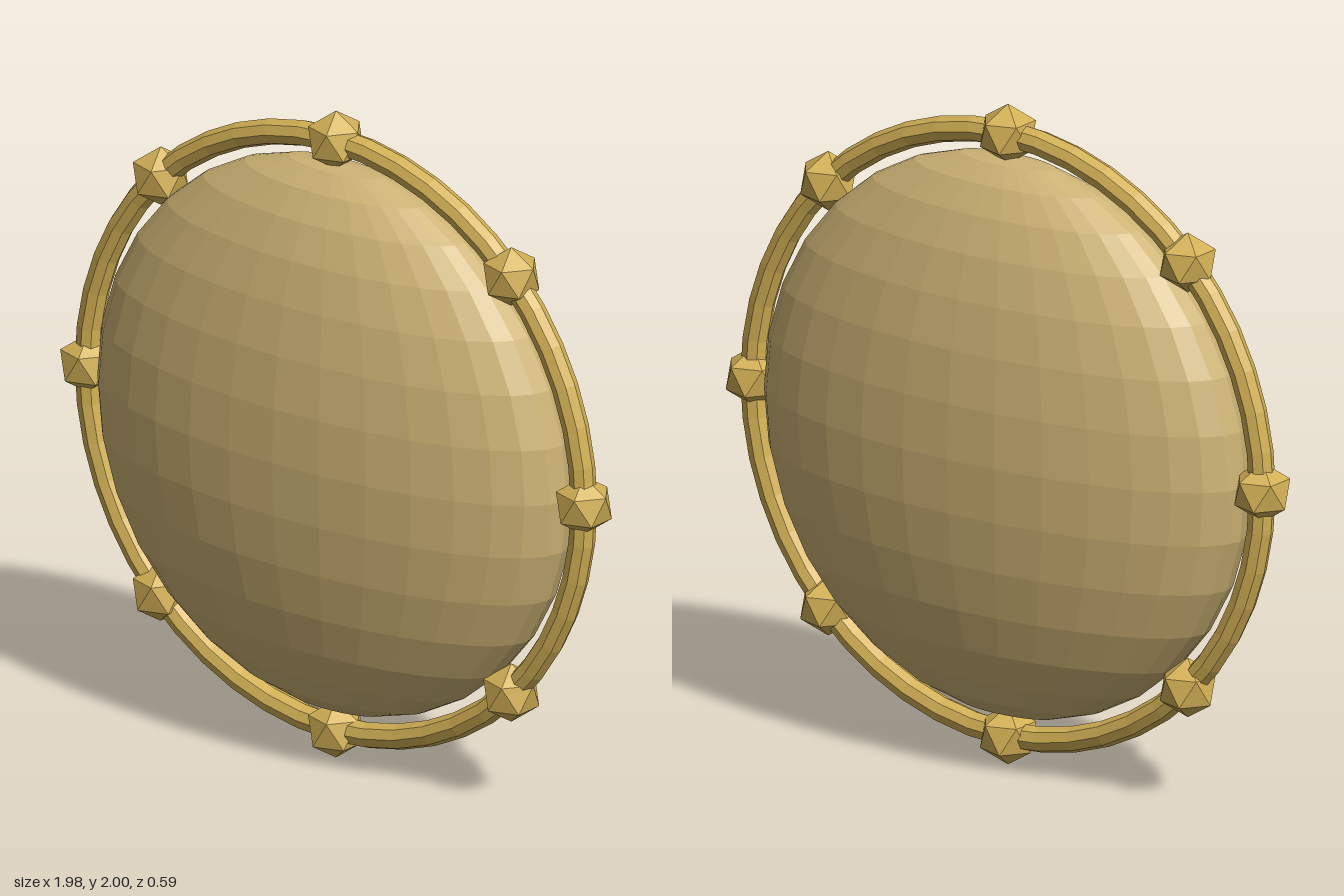
import * as THREE from 'three';
import { ConvexGeometry } from 'three/addons/geometries/ConvexGeometry.js';

const RING_RADIUS = 0.91;
const KNOB_RADIUS = 0.09;

// Twenty-sided knob standing on one corner
function knobGeometry(r) {
  const points = [new THREE.Vector3(0, r, 0), new THREE.Vector3(0, -r, 0)];
  const h = r / Math.sqrt(5);
  for (let i = 0; i < 10; i++) {
    const a = (i * Math.PI) / 5;
    points.push(new THREE.Vector3(2 * h * Math.cos(a), i % 2 ? -h : h, 2 * h * Math.sin(a)));
  }
  return new ConvexGeometry(points);
}

export function createModel() {
  const paleGold = new THREE.MeshStandardMaterial({ color: 0xccb274 });
  paleGold.name = 'pale gold';
  paleGold.flatShading = true;
  const gold = new THREE.MeshStandardMaterial({ color: 0xd2b055 });
  gold.name = 'gold';
  gold.flatShading = true;

  const model = new THREE.Group();
  model.name = 'ringedDisc';
  const add = (name, geometry, material, x = 0, y = 1) => {
    const mesh = new THREE.Mesh(geometry, material);
    mesh.name = name;
    mesh.position.set(x, y, 0);
    model.add(mesh);
    return mesh;
  };

  // Flattened, faceted body with its poles at top and bottom
  add('body', new THREE.SphereGeometry(1, 32, 16), paleGold).scale.set(0.847, 0.847, 0.296);

  // Rim floating just outside the body
  add('rim', new THREE.TorusGeometry(RING_RADIUS, 0.039, 8, 48), gold);

  // Eight knobs spaced evenly, all upright
  const knob = knobGeometry(KNOB_RADIUS);
  for (let i = 0; i < 8; i++) {
    const a = (i * Math.PI) / 4;
    add(`knob${i + 1}`, knob, gold, RING_RADIUS * Math.cos(a), 1 + RING_RADIUS * Math.sin(a));
  }
  return model;
}
